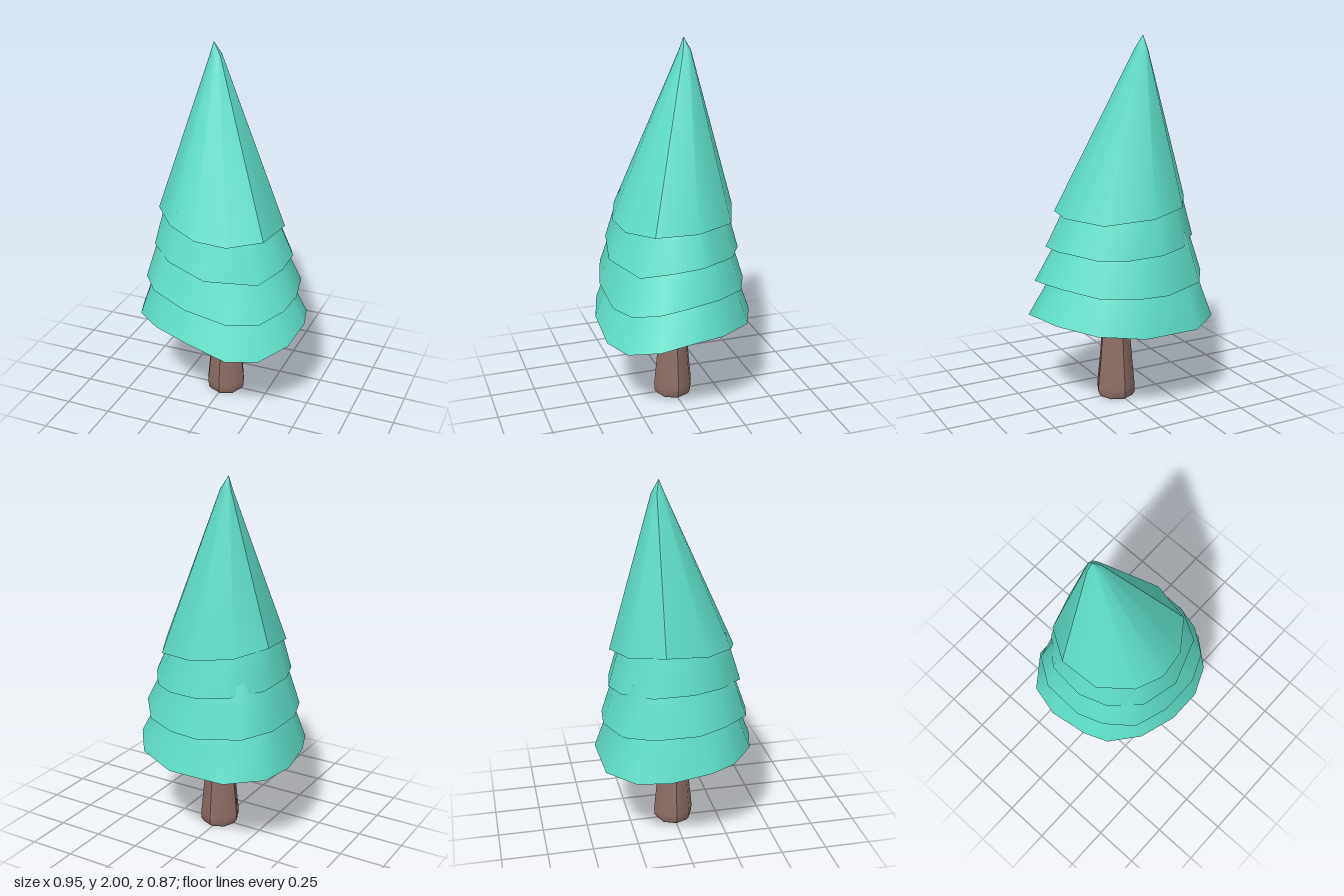
import * as THREE from 'three';

// Joins rings of [x, y, z] points, listed clockwise from above and bottom first.
// breaks: indices of sharp vertical edges; the sides stay smooth between them.
// fan: index of the rim corner that the underside spreads from.
function loft(rings, breaks, fan, material, name) {
  const group = new THREE.Group();
  group.name = name;
  const n = rings[0].length;
  const add = (positions, index, partName) => {
    let geo = new THREE.BufferGeometry();
    geo.setAttribute('position', new THREE.Float32BufferAttribute(positions.flat(), 3));
    geo.setIndex(index);
    if (partName === 'underside') geo = geo.toNonIndexed();
    geo.computeVertexNormals();
    const mesh = new THREE.Mesh(geo, material);
    mesh.name = partName;
    group.add(mesh);
  };

  // sides, one smooth patch between each pair of sharp edges
  const patches = breaks.length
    ? breaks.map((b, k) => [b, (breaks[(k + 1) % breaks.length] - b + n) % n])
    : [[0, n]];
  for (const [start, count] of patches) {
    const cols = count === n ? n : count + 1;
    const positions = [], index = [];
    for (const ring of rings) {
      for (let i = 0; i < cols; i++) positions.push(ring[(start + i) % n]);
    }
    for (let r = 0; r < rings.length - 1; r++) {
      for (let i = 0; i < count; i++) {
        const a = r * cols + i, b = r * cols + (i + 1) % cols;
        index.push(b, a, a + cols, b, a + cols, b + cols);
      }
    }
    add(positions, index, 'side');
  }

  // underside
  const under = [];
  for (let i = 1; i < n - 1; i++) under.push(fan, (fan + i) % n, (fan + i + 1) % n);
  add(rings[0], under, 'underside');
  return group;
}

export function createModel() {
  const tree = new THREE.Group();
  tree.name = 'tree';
  const foliage = new THREE.MeshStandardMaterial({ color: 0x5edcc6 });
  foliage.name = 'teal foliage';
  const bark = new THREE.MeshStandardMaterial({ color: 0x8d6e66 });
  bark.name = 'brown bark';

  // trunk: flared octagon with a small bevel at the foot
  const trunkRings = [[0, 0.095], [0.02, 0.108], [0.06, 0.11], [0.2, 0.096], [0.47, 0.073], [0.6, 0.07]]
    .map(([y, r]) => Array.from({ length: 8 }, (_, i) => {
      const a = i * Math.PI / 4;
      return [0.008 + r * Math.cos(a), y, r * Math.sin(a)];
    }));
  tree.add(loft(trunkRings, [0, 2, 4, 6], 0, bark, 'trunk'));

  // wavy rims of the three skirts, lowest first
  const skirts = [
    { name: 'lowerSkirt', fan: 7, rim: [
      [-0.26, 0.47, -0.42], [0.06, 0.475, -0.435], [0.29, 0.495, -0.335], [0.435, 0.515, -0.14],
      [0.475, 0.52, 0.02], [0.445, 0.475, 0.205], [0.33, 0.432, 0.35], [0.17, 0.437, 0.42],
      [-0.04, 0.505, 0.43], [-0.25, 0.53, 0.37], [-0.4, 0.52, 0.245], [-0.45, 0.505, 0.11],
      [-0.48, 0.49, -0.11], [-0.435, 0.48, -0.285]] },
    { name: 'middleSkirt', fan: 9, rim: [
      [-0.32, 0.7, -0.335], [-0.09, 0.68, -0.405], [0.07, 0.68, -0.39], [0.26, 0.685, -0.305],
      [0.4, 0.71, -0.13], [0.437, 0.7, 0.055], [0.41, 0.67, 0.19], [0.32, 0.638, 0.32],
      [0.17, 0.637, 0.385], [-0.07, 0.685, 0.395], [-0.27, 0.735, 0.34], [-0.38, 0.735, 0.2],
      [-0.43, 0.72, 0.05], [-0.42, 0.715, -0.185]] },
    { name: 'upperSkirt', fan: 9, rim: [
      [-0.225, 0.905, -0.325], [-0.075, 0.89, -0.37], [0.11, 0.878, -0.34], [0.24, 0.872, -0.26],
      [0.34, 0.888, -0.12], [0.375, 0.888, -0.05], [0.375, 0.877, 0.115], [0.295, 0.842, 0.27],
      [0.03, 0.86, 0.365], [-0.19, 0.915, 0.325], [-0.33, 0.935, 0.19], [-0.385, 0.935, 0.03],
      [-0.365, 0.925, -0.18]] },
  ];
  for (const { name, fan, rim } of skirts) {
    const top = rim.map(([x, y, z]) => [x * 0.74 - 0.03, y + 0.27, z * 0.78 - 0.01]);
    tree.add(loft([rim, top], [], fan, foliage, name));
  }

  // leaning crown with two sharp ridges and a small bent tip
  const rim = [
    [-0.35, 1.135, -0.11], [-0.24, 1.11, -0.285], [-0.035, 1.085, -0.355], [0.21, 1.055, -0.26],
    [0.33, 1.06, -0.035], [0.29, 1.05, 0.185], [0.13, 1.04, 0.3], [-0.04, 1.06, 0.325],
    [-0.2, 1.1, 0.27], [-0.335, 1.12, 0.115]];
  const neck = rim.map(([x, , z]) => [x * 0.1 - 0.087, 1.93, z * 0.1 - 0.098]);
  const tip = rim.map(([x, , z]) => [x * 0.002 - 0.1, 2, z * 0.002 - 0.095]);
  tree.add(loft([rim, neck, tip], [0, 5], 7, foliage, 'crown'));
  return tree;
}
